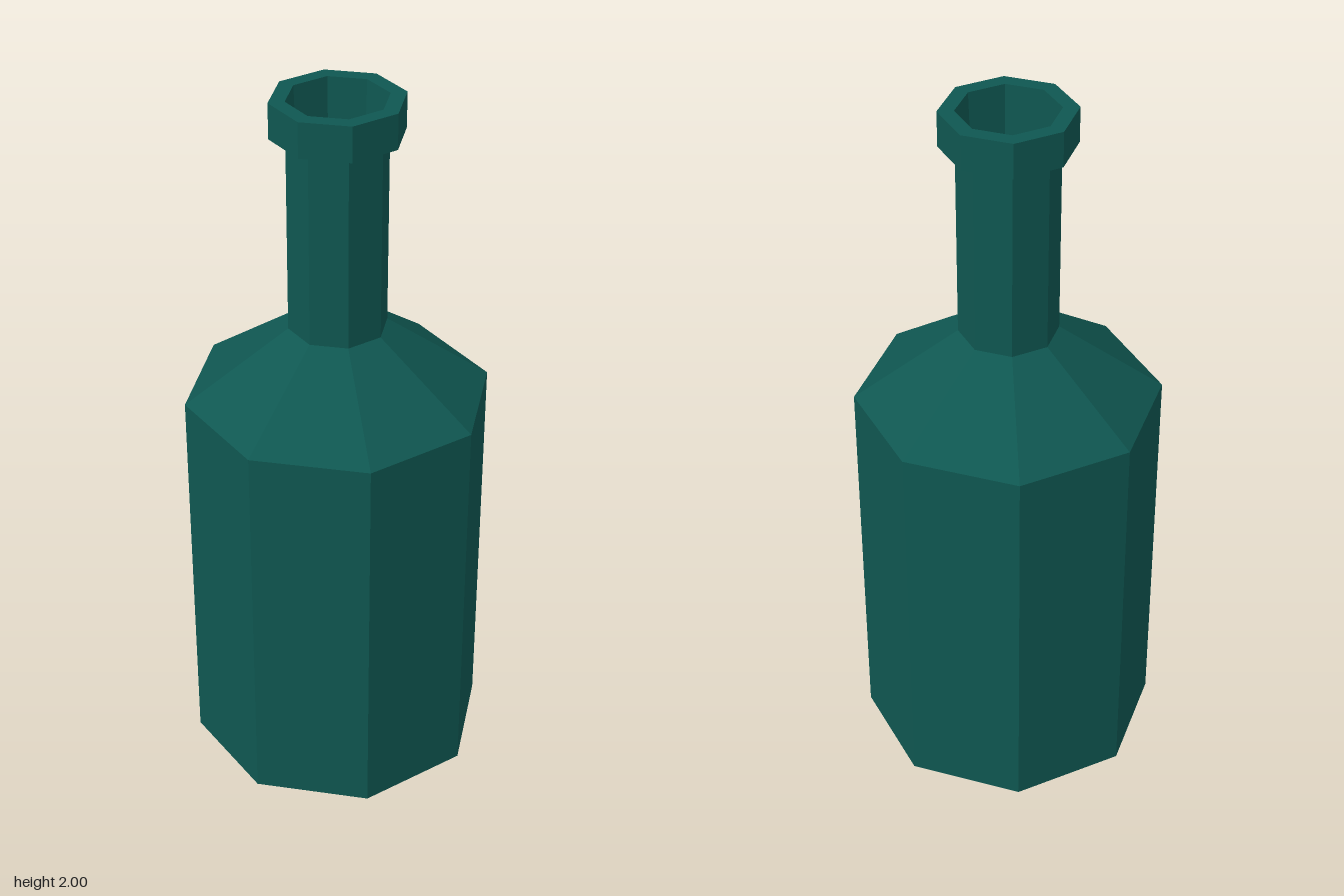
import * as THREE from 'three';

const SIDES = 8;

export function createModel() {
  const group = new THREE.Group();
  const glass = new THREE.MeshStandardMaterial({ color: 0x0f5751 });
  glass.name = 'dark teal glass';

  function add(name, geometry) {
    const mesh = new THREE.Mesh(geometry, glass);
    mesh.name = name;
    group.add(mesh);
    return mesh;
  }

  // Faceted ring of faces through [radius, height] points, corners on the axes
  function facets(name, profile) {
    const points = profile.map(([r, y]) => new THREE.Vector2(r, y));
    const geometry = new THREE.LatheGeometry(points, SIDES).toNonIndexed();
    geometry.computeVertexNormals();
    return add(name, geometry);
  }

  // Flat octagonal disc facing up or down
  function disc(name, radius, y, up) {
    const geometry = new THREE.CircleGeometry(radius, SIDES);
    geometry.rotateX(up ? -Math.PI / 2 : Math.PI / 2);
    geometry.translate(0, y, 0);
    return add(name, geometry);
  }

  disc('base', 0.375, 0, false);
  facets('baseBevel', [[0.375, 0], [0.417, 0.035]]);
  facets('body', [[0.417, 0.035], [0.417, 1.152]]);
  facets('shoulder', [[0.417, 1.152], [0.134, 1.355]]);
  facets('neck', [[0.134, 1.355], [0.134, 1.903]]);
  facets('lip', [[0.134, 1.903], [0.177, 1.903], [0.177, 2], [0.134, 2]]);

  // Tapered inside of the neck, closed at shoulder height
  facets('neckInside', [[0.134, 2], [0.108, 1.36]]);
  disc('neckFloor', 0.108, 1.36, true);

  return group;
}
